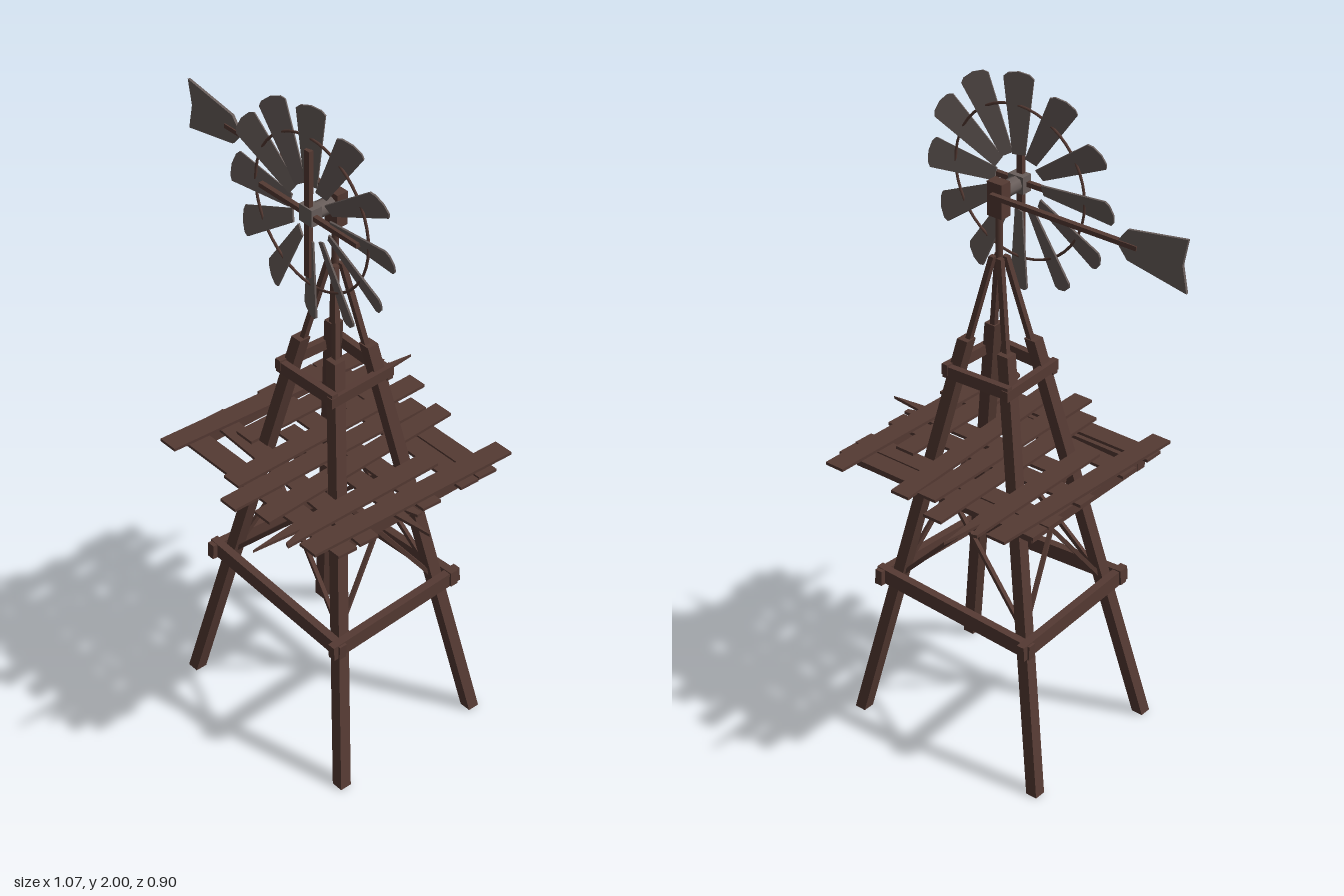
import * as THREE from 'three';

const wood = new THREE.MeshStandardMaterial({ color: 0x553a33 });
wood.name = 'weathered wood';
const metal = new THREE.MeshStandardMaterial({ color: 0x695e5b });
metal.name = 'dull metal';

const V = (x, y, z) => new THREE.Vector3(x, y, z);

function add(parent, name, geometry, material, x = 0, y = 0, z = 0) {
  const mesh = new THREE.Mesh(geometry, material);
  mesh.name = name;
  mesh.position.set(x, y, z);
  parent.add(mesh);
  return mesh;
}

// Straight timber between two points
function beam(parent, name, a, b, width, height, material = wood) {
  const mesh = add(parent, name, new THREE.BoxGeometry(width, height, a.distanceTo(b)), material);
  mesh.position.copy(a).lerp(b, 0.5);
  mesh.lookAt(b);
  return mesh;
}

// Leaning post whose ends stay level
function post(parent, name, a, b, width) {
  const g = new THREE.BoxGeometry(width, 1, width).translate(0, 0.5, 0);
  const p = g.attributes.position;
  for (let i = 0; i < p.count; i++) {
    const c = a.clone().lerp(b, p.getY(i));
    p.setXYZ(i, p.getX(i) + c.x, c.y, p.getZ(i) + c.z);
  }
  g.computeVertexNormals();
  return add(parent, name, g, wood);
}

// Flat outline given a thickness, centred on its plane
function plate(points, depth) {
  const shape = new THREE.Shape(points.map(([x, y]) => new THREE.Vector2(x, y)));
  return new THREE.ExtrudeGeometry(shape, { depth, bevelEnabled: false }).translate(0, 0, -depth / 2);
}

// Horizontal board from an outline in x and z
function board(parent, name, points, y) {
  const g = plate(points.map(([x, z]) => [x, -z]), 0.009).rotateX(-Math.PI / 2);
  return add(parent, name, g, wood, 0, y, 0);
}

function buildTower() {
  const tower = new THREE.Group();
  tower.name = 'tower';
  for (const sx of [-1, 1]) for (const sz of [-1, 1]) {
    post(tower, 'leg', V(sx * 0.325, 0, sz * 0.248), V(sx * 0.07, 1.25, sz * 0.058), 0.036);
    post(tower, 'upperPole', V(sx * 0.075, 1.2, sz * 0.06), V(sx * 0.013, 1.5, sz * 0.012), 0.016);
  }
  for (const s of [-1, 1]) {
    // Lower girts, tilted opposite ways on opposite sides
    beam(tower, 'lowerGirt', V(-0.28, 0.462 + s * 0.016, s * 0.208), V(0.28, 0.462 - s * 0.016, s * 0.208), 0.024, 0.046);
    beam(tower, 'lowerSideGirt', V(s * 0.262, 0.462 + s * 0.014, -0.235), V(s * 0.262, 0.462 - s * 0.014, 0.235), 0.024, 0.046);
    // Upper girts
    beam(tower, 'upperGirt', V(-0.115, 1.157 - s * 0.004, s * 0.098), V(0.115, 1.157 + s * 0.004, s * 0.098), 0.02, 0.036);
    beam(tower, 'upperSideGirt', V(s * 0.106, 1.157 + s * 0.004, -0.11), V(s * 0.106, 1.157 - s * 0.004, 0.11), 0.02, 0.032);
    // Crossed braces on all four sides
    for (const d of [-1, 1]) {
      beam(tower, 'crossBrace', V(d * -0.22, 0.48, s * 0.175), V(d * 0.15, 0.86, s * 0.118), 0.012, 0.012);
      beam(tower, 'sideCrossBrace', V(s * 0.226, 0.48, d * -0.17), V(s * 0.15, 0.86, d * 0.115), 0.012, 0.012);
    }
    // Platform frame
    beam(tower, 'frameBeam', V(-0.315, 0.858, s * 0.232), V(0.315, 0.858, s * 0.232), 0.034, 0.032);
    beam(tower, 'frameSideBeam', V(s * 0.296, 0.858, -0.25), V(s * 0.296, 0.858, 0.25), 0.034, 0.032);
  }
  tower.position.x = 0.095;
  return tower;
}

function buildPlatform() {
  const deck = new THREE.Group();
  deck.name = 'platform';
  // Lower boards along x: [z at left end, z at right end]
  for (const [zl, zr] of [[-0.245, -0.245], [-0.178, -0.178], [-0.04, -0.04], [0.148, 0.185], [0.26, 0.26]]) {
    board(deck, 'lowerBoard', [[-0.243, zl - 0.031], [0.45, zr - 0.031], [0.447, zr + 0.031], [-0.243, zl + 0.031]], 0.878);
  }
  board(deck, 'splinteredLowerBoard',
    [[-0.06, 0.01], [0.455, 0.004], [0.455, 0.02], [0.41, 0.035], [0.535, 0.05], [0.41, 0.066], [-0.06, 0.07]], 0.878);
  // Top planks along z: [back x, back z, front x, front z]
  for (const [xb, zb, xf, zf] of [
    [-0.175, -0.35, -0.21, 0.34], [0.019, -0.38, 0.029, 0.31], [0.1, -0.31, 0.1, 0.38],
    [0.165, -0.345, 0.2, 0.345], [0.401, -0.35, 0.379, 0.34]]) {
    board(deck, 'topPlank', [[xb - 0.031, zb], [xb + 0.031, zb], [xf + 0.031, zf], [xf - 0.031, zf]], 0.887);
  }
  // Broken planks ending in spikes
  board(deck, 'splinteredPlank',
    [[-0.13, -0.37], [-0.115, -0.375], [-0.1, -0.32], [-0.083, -0.45], [-0.067, -0.28], [-0.067, 0.16], [-0.13, 0.16]], 0.887);
  board(deck, 'splinteredPlank',
    [[0.275, -0.165], [0.337, -0.165], [0.337, 0.37], [0.323, 0.365], [0.306, 0.3], [0.29, 0.45], [0.273, 0.29]], 0.887);
  return deck;
}

function buildRotor() {
  const rotor = new THREE.Group();
  rotor.name = 'rotor';
  const outline = [[-0.018, 0.08], [0.018, 0.08], [0.042, 0.298], [0.03, 0.309], [0, 0.315], [-0.03, 0.309], [-0.042, 0.298]];
  for (let i = 0; i < 12; i++) {
    const arm = new THREE.Group();
    arm.name = 'bladeArm';
    arm.rotation.z = i * Math.PI / 6;
    add(arm, 'blade', plate(outline, 0.005), metal).rotation.y = 0.35;
    rotor.add(arm);
  }
  add(rotor, 'rim', new THREE.TorusGeometry(0.22, 0.004, 6, 48), wood);
  // Crossed spokes and hub
  add(rotor, 'spoke', new THREE.BoxGeometry(0.38, 0.014, 0.014), wood, 0, 0, 0.008);
  add(rotor, 'spoke', new THREE.BoxGeometry(0.02, 0.38, 0.014), wood, 0, 0, 0.008);
  add(rotor, 'hub', new THREE.BoxGeometry(0.05, 0.05, 0.034), metal, 0, 0, 0.002);
  rotor.position.set(0.095, 1.685, 0.083);
  return rotor;
}

function buildHead() {
  const head = new THREE.Group();
  head.name = 'head';
  const shaft = add(head, 'shaft', new THREE.CylinderGeometry(0.023, 0.023, 0.08, 8), metal, 0.095, 1.685, 0.045);
  shaft.rotation.x = Math.PI / 2;
  add(head, 'gearbox', new THREE.BoxGeometry(0.05, 0.1, 0.036), wood, 0.095, 1.67, -0.002);
  add(head, 'mast', new THREE.CylinderGeometry(0.01, 0.01, 0.2, 8), wood, 0.095, 1.55, 0);
  // Tail boom and vane
  add(head, 'tailBoom', new THREE.BoxGeometry(0.48, 0.013, 0.016), wood, -0.14, 1.686, -0.027);
  add(head, 'tailVane', plate([[-0.537, 1.76], [-0.522, 1.685], [-0.537, 1.608], [-0.35, 1.643], [-0.315, 1.685], [-0.35, 1.73]], 0.008),
    metal, 0, 0, -0.027);
  return head;
}

export function createModel() {
  const model = new THREE.Group();
  model.name = 'windPump';
  model.add(buildTower(), buildPlatform(), buildRotor(), buildHead());
  return model;
}
